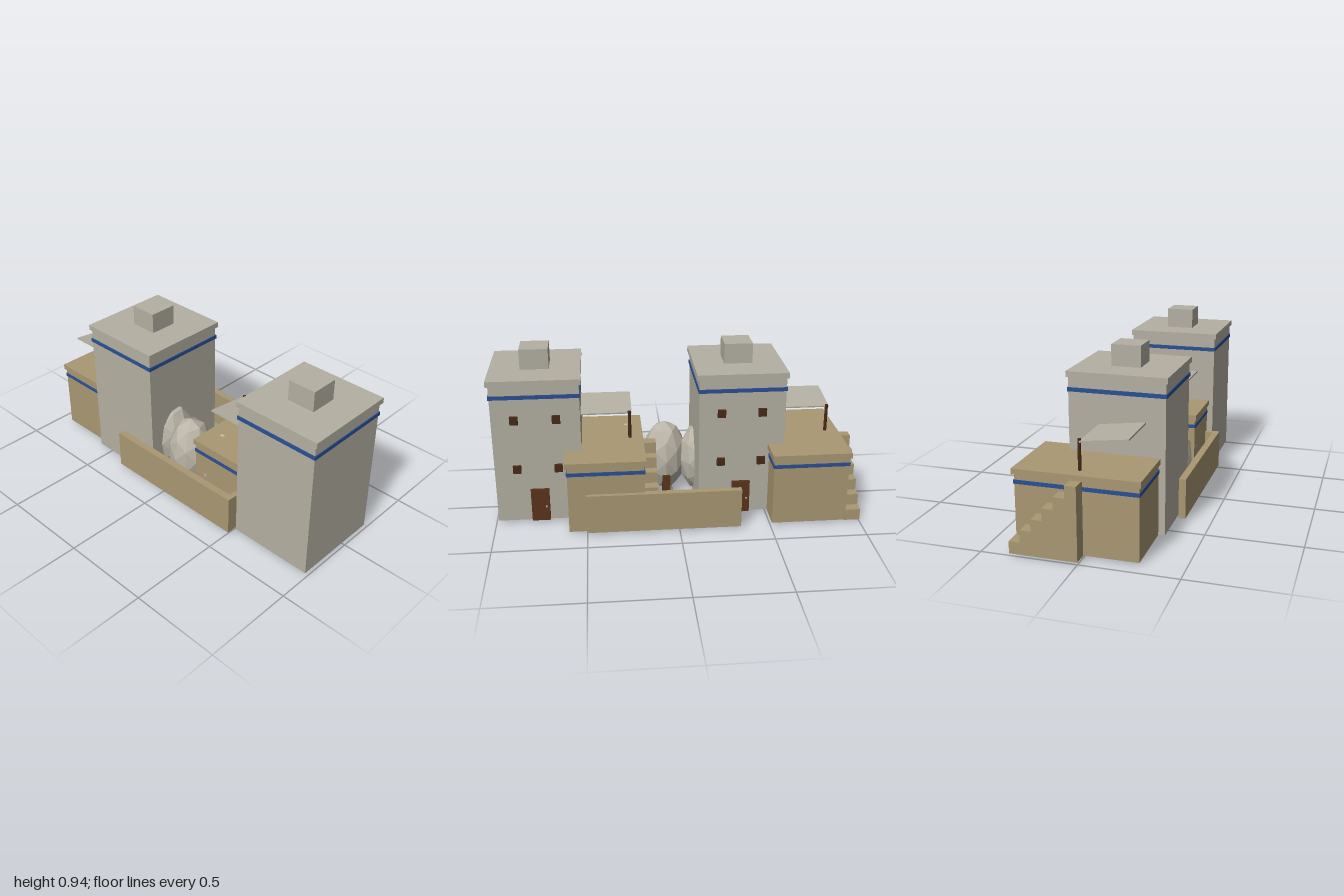
import * as THREE from 'three';

const mat = (name, color, opts = {}) => {
  const m = new THREE.MeshStandardMaterial({ color, ...opts });
  m.name = name;
  return m;
};

export function createModel() {
  const stone = mat('grey stone', 0xb4b0a2);
  const rock = mat('pale rock', 0xbab5a7, { flatShading: true });
  const clay = mat('tan clay', 0xa99873);
  const blue = mat('blue trim', 0x2a5093);
  const wood = mat('door wood', 0x5a341c);
  const darkWood = mat('dark wood', 0x472a18);

  const add = (parent, name, geometry, material) => {
    const mesh = new THREE.Mesh(geometry, material);
    mesh.name = name;
    parent.add(mesh);
    return mesh;
  };

  // Box given by its extents along each axis
  const box = (parent, name, material, [x0, x1], [y0, y1], [z0, z1]) => {
    const mesh = add(parent, name, new THREE.BoxGeometry(x1 - x0, y1 - y0, z1 - z0), material);
    mesh.position.set((x0 + x1) / 2, (y0 + y1) / 2, (z0 + z1) / 2);
    return mesh;
  };

  // Solid staircase rising towards +z, cut as one stepped profile
  const stairs = (parent) => {
    const steps = 6, zBack = -0.35, run = 0.35 / steps, rise = 0.38 / steps, base = 0.01;
    const s = new THREE.Shape();
    s.moveTo(-zBack, base);
    for (let i = 0; i < steps; i++) {
      s.lineTo(-zBack - i * run, base + (i + 1) * rise);
      s.lineTo(-zBack - (i + 1) * run, base + (i + 1) * rise);
    }
    s.lineTo(0, base);
    const g = new THREE.ExtrudeGeometry(s, { depth: 0.085, bevelEnabled: false });
    g.rotateY(Math.PI / 2);
    const mesh = add(parent, 'stairs', g, clay);
    mesh.position.x = -1;
  };

  const house = (name) => {
    const h = new THREE.Group();
    h.name = name;

    // Tower
    box(h, 'towerBody', stone, [-0.59, -0.12], [0.011, 0.8], [-0.188, 0.315]);
    box(h, 'towerBand', blue, [-0.595, -0.115], [0.724, 0.745], [-0.193, 0.32]);
    box(h, 'towerCap', stone, [-0.6, -0.107], [0.798, 0.828], [-0.197, 0.325]);
    box(h, 'roofBlock', stone, [-0.43, -0.275], [0.828, 0.94], [-0.015, 0.14]);

    // Low annex
    box(h, 'annexBody', clay, [-0.92, -0.51], [0.01, 0.39], [-0.345, 0.28]);
    box(h, 'annexBand', blue, [-0.924, -0.506], [0.34, 0.36], [-0.349, 0.284]);
    box(h, 'annexRoof', clay, [-0.93, -0.5], [0.388, 0.418], [-0.357, 0.29]);
    stairs(h);

    // Tilted canopy on one post
    const canopy = box(h, 'canopy', stone, [-0.87, -0.575], [0.574, 0.582], [-0.031, 0.216]);
    canopy.rotation.x = -0.125;
    const post = add(h, 'canopyPost', new THREE.CylinderGeometry(0.009, 0.009, 0.165, 8), darkWood);
    post.position.set(-0.857, 0.4925, -0.033);

    // Door, knob and windows on the back
    box(h, 'door', wood, [-0.405, -0.305], [0.011, 0.2], [-0.203, -0.186]);
    const knob = add(h, 'doorKnob', new THREE.SphereGeometry(0.006, 8, 6), stone);
    knob.position.set(-0.387, 0.096, -0.205);
    for (const x of [-0.463, -0.241]) for (const y of [0.323, 0.607]) {
      box(h, 'window', darkWood, [x - 0.022, x + 0.022], [y - 0.022, y + 0.022], [-0.203, -0.186]);
    }
    return h;
  };

  const model = new THREE.Group();
  model.name = 'courtyardHouses';
  const first = house('firstHouse');
  const second = house('secondHouse');
  second.position.x = 1.107;
  model.add(first, second);

  // Tall faceted boulders between the houses
  for (const [x, z, turn] of [[-0.165, 0.125, 0.4], [0.04, 0.17, 0], [0.265, 0.155, 0.9]]) {
    const b = add(model, 'boulder', new THREE.IcosahedronGeometry(1, 1), rock);
    b.scale.set(0.127, 0.213, 0.13);
    b.position.set(x, 0.212, z);
    b.rotation.y = turn;
  }
  box(model, 'boulderDoor', wood, [0.018, 0.062], [0.011, 0.13], [0.04, 0.1]);

  // Courtyard walls
  box(model, 'frontWall', clay, [-0.355, 0.505], [0.01, 0.23], [0.325, 0.363]);
  box(model, 'backWall', clay, [-0.335, 0.495], [0.01, 0.23], [-0.367, -0.33]);
  box(model, 'sideWall', clay, [0.475, 0.504], [0.012, 0.228], [-0.36, 0.35]);

  return model;
}
